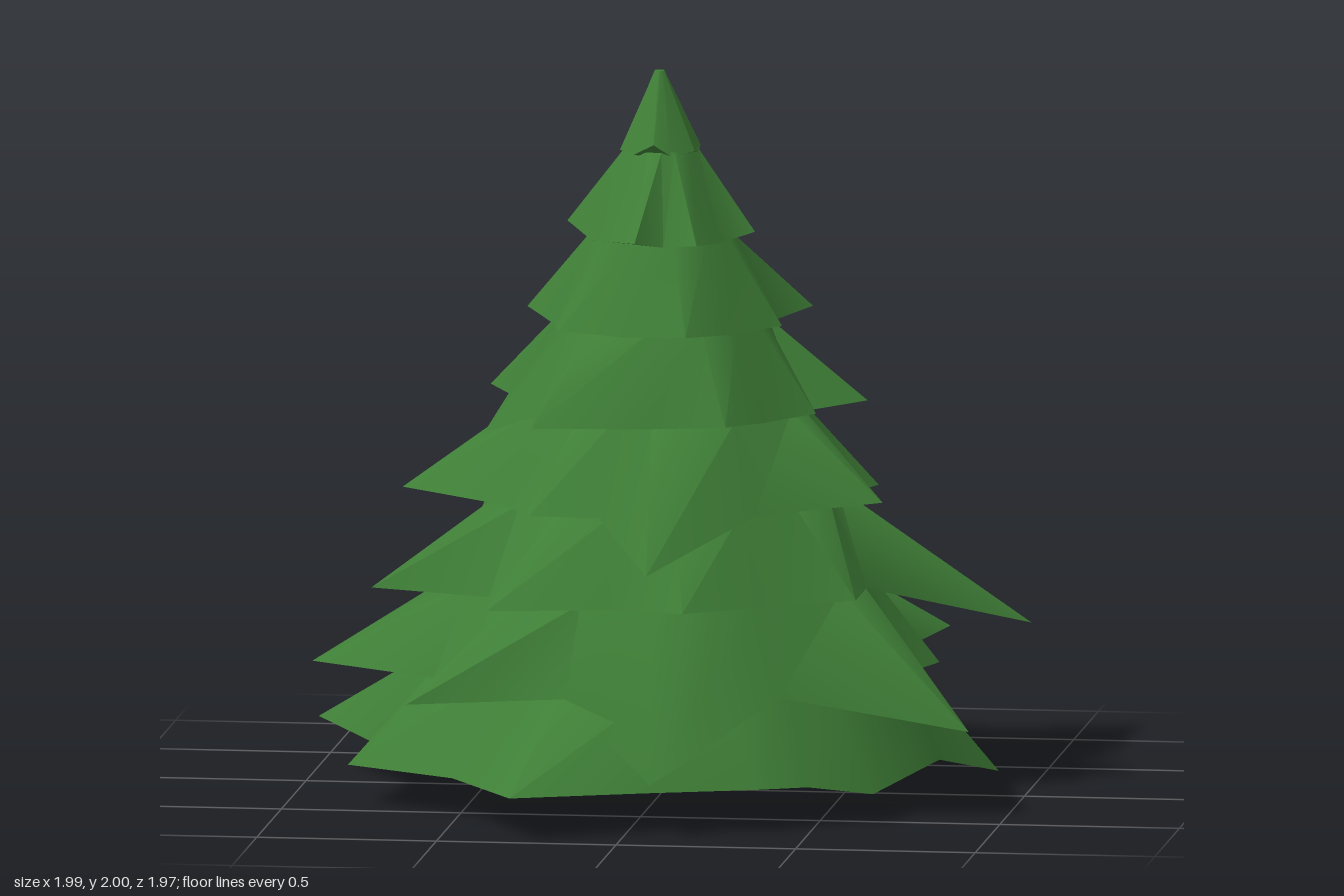
import * as THREE from 'three';
import { toCreasedNormals } from 'three/addons/utils/BufferGeometryUtils.js';

// Per tier: reach of an ordinary tip, turn in degrees, and the special tips as [x, y, z]
const TIERS = [
  { reach: 0.82, turn: 20, special: [[0.87, 0, -0.43], [0.65, 0.08, 0.52], [-0.3, 0.12, 0.98], [-0.83, 0.11, 0.39],
    [-1, 0.14, -0.26], [-0.56, 0.12, -0.89], [0.05, 0.12, -0.99]] },
  { reach: 0.76, turn: 40, special: [[0.9, 0.24, 0.4], [0.08, 0.15, 0.89], [-0.61, 0.35, 0.82], [-0.97, 0.35, 0.09],
    [-0.83, 0.34, -0.54], [0, 0.24, -0.88], [0.69, 0.35, -0.76]] },
  { reach: 0.7, turn: -12, special: [[0.99, 0.45, -0.22], [-0.4, 0.6, 0.72], [-0.77, 0.6, 0.35], [0.02, 0.58, -0.88]] },
  { reach: 0.6, turn: 30, special: [[0.63, 0.84, 0.18], [0.04, 0.7, 0.68], [-0.72, 0.84, 0.08], [-0.3, 0.74, -0.65],
    [0.17, 0.64, -0.82]] },
  { reach: 0.46, turn: 15, special: [[0.55, 1.08, -0.1], [-0.3, 1.08, 0.52], [-0.49, 1, 0.1], [-0.52, 1.08, -0.25],
    [-0.3, 0.98, -0.57], [0.03, 1.06, -0.59]] },
  { reach: 0.36, turn: 15, special: [[0.38, 1.32, -0.23], [0.1, 1.31, 0.32], [-0.4, 1.32, -0.12], [-0.2, 1.32, -0.47]] },
  { reach: 0.26, turn: 0, special: [[0.25, 1.56, 0], [-0.05, 1.56, 0.26], [-0.29, 1.56, -0.13], [0.03, 1.56, -0.3]] },
  { reach: 0.12, turn: 30, special: [[-0.02, 1.81, 0.09], [-0.05, 1.77, -0.18]] },
];

const tierY = (i) => 0.11 + 0.238 * i;
const tierRadius = (i) => 0.78 - 0.096 * i;

// Point around the trunk axis, which leans slightly to the left and back
const around = (radius, angle, y) =>
  [radius * Math.cos(angle) - 0.01 * y, y, radius * Math.sin(angle) - 0.017 * y];

// Skirt of alternating tips and valleys, narrowing to a top ring, with a closed underside
function tierGeometry({ reach, turn, special }, spokes, y, radius, topY, topRadius) {
  const start = THREE.MathUtils.degToRad(turn);
  const step = (Math.PI * 2) / spokes;
  const tips = [];
  for (let k = 0; k < spokes; k++) {
    const angle = start + k * step;
    tips.push({ angle, point: around(reach, angle, y + 0.01) });
  }
  // A special tip replaces the ordinary one nearest to it
  for (const point of special) {
    const heading = Math.atan2(point[2], point[0]);
    const k = (Math.round((heading - start) / step) + 2 * spokes) % spokes;
    const offset = heading - tips[k].angle;
    const angle = tips[k].angle + Math.atan2(Math.sin(offset), Math.cos(offset));
    tips[k] = { angle, point };
  }
  const rim = tips.flatMap((tip, k) => {
    const next = k + 1 < spokes ? tips[k + 1].angle : tips[0].angle + Math.PI * 2;
    const angle = (tip.angle + next) / 2;
    return [tip, { angle, point: around(radius, angle, y) }];
  });

  const positions = [];
  const triangle = (...corners) => positions.push(...corners.flat());
  const top = rim.map(({ angle }) => around(topRadius, angle, topY));
  const n = rim.length;
  for (let i = 0; i < n; i++) {
    const j = (i + 1) % n;
    triangle(rim[i].point, top[i], rim[j].point);
    triangle(top[i], top[j], rim[j].point);
    triangle(around(0, 0, topY), top[j], top[i]);
    if (i % 2 === 0) {
      const before = rim[(i + n - 1) % n].point;
      triangle(before, rim[i].point, rim[j].point);
      triangle(around(0, 0, y), before, rim[j].point);
    }
  }
  const geometry = new THREE.BufferGeometry();
  geometry.setAttribute('position', new THREE.Float32BufferAttribute(positions, 3));
  return toCreasedNormals(geometry, 0.9);
}

export function createModel() {
  const tree = new THREE.Group();
  tree.name = 'coniferTree';
  const green = new THREE.MeshStandardMaterial({ color: 0x3f7f37 });

  TIERS.forEach((tier, i) => {
    const isTop = i === TIERS.length - 1;
    const spokes = i < 5 ? 8 : 6;
    const topY = isTop ? 2 : tierY(i + 1) + 0.01;
    const topRadius = isTop ? 0.014 : tierRadius(i + 1) * 0.98;
    const mesh = new THREE.Mesh(tierGeometry(tier, spokes, tierY(i), tierRadius(i), topY, topRadius), green);
    mesh.name = isTop ? 'treeTop' : `branchTier${i + 1}`;
    tree.add(mesh);
  });
  return tree;
}
